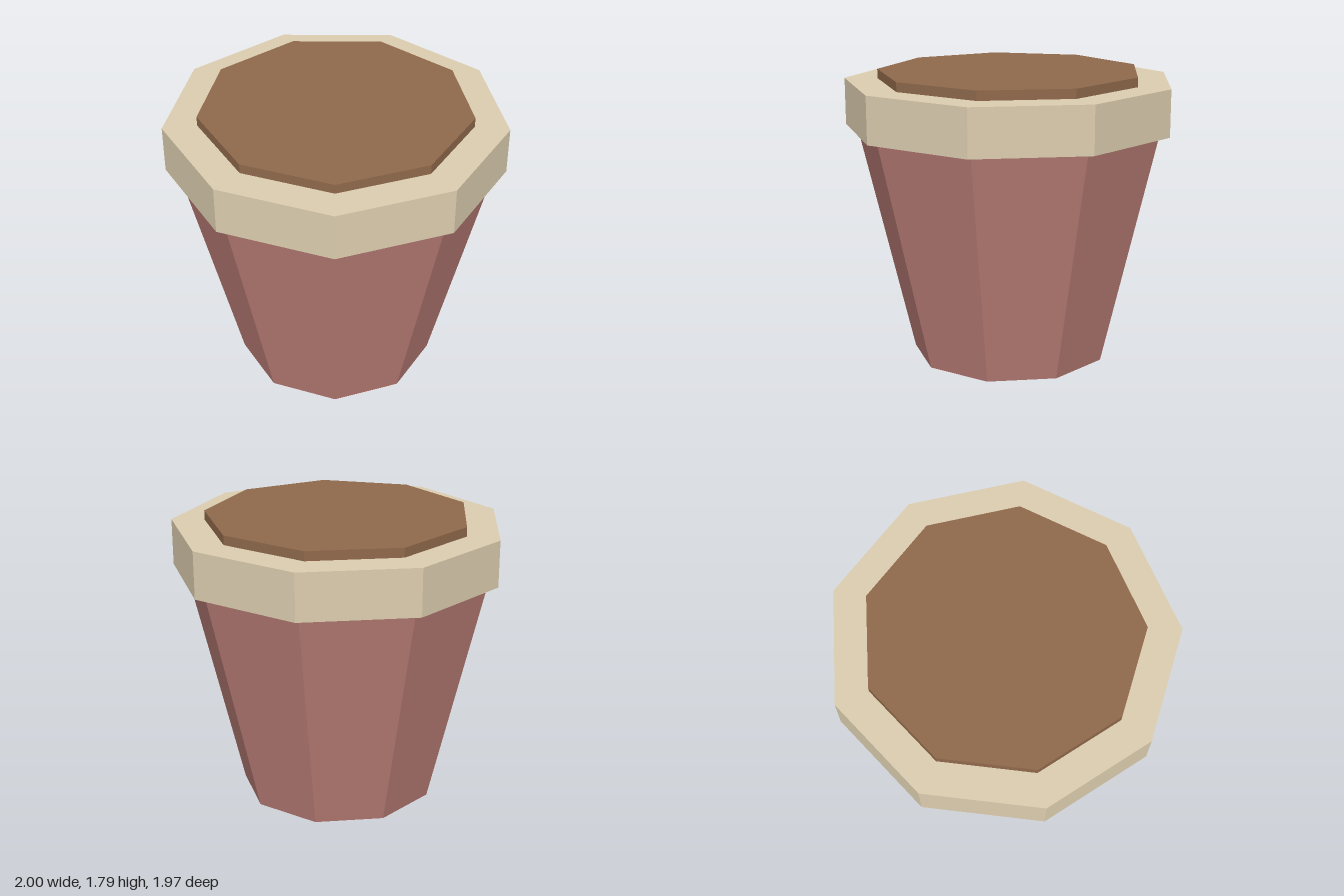
import * as THREE from 'three';

const SIDES = 9;
const CENTRE_Z = 0.031; // centres the nine-sided outline on its bounding box

function material(name, color) {
  const m = new THREE.MeshStandardMaterial({ color });
  m.name = name;
  m.flatShading = true;
  return m;
}

// Nine-sided tapered prism between two heights, with one corner pointing to the back
function prism(name, rTop, rBottom, y0, y1, mat) {
  const geometry = new THREE.CylinderGeometry(rTop, rBottom, y1 - y0, SIDES, 1, false, Math.PI);
  geometry.translate(0, (y0 + y1) / 2, CENTRE_Z);
  const mesh = new THREE.Mesh(geometry, mat);
  mesh.name = name;
  return mesh;
}

export function createModel() {
  const clay = material('clay', 0xbc7e77);
  const cream = material('cream', 0xdccdaf);
  const earth = material('earth', 0x8f694b);

  const pot = new THREE.Group();
  pot.name = 'flowerPot';
  pot.add(
    prism('potBody', 0.95, 0.61, 0, 1.445, clay),
    prism('rim', 1.0154, 1.0154, 1.445, 1.73, cream),
    prism('soil', 0.812, 0.812, 1.6, 1.787, earth),
  );
  return pot;
}
